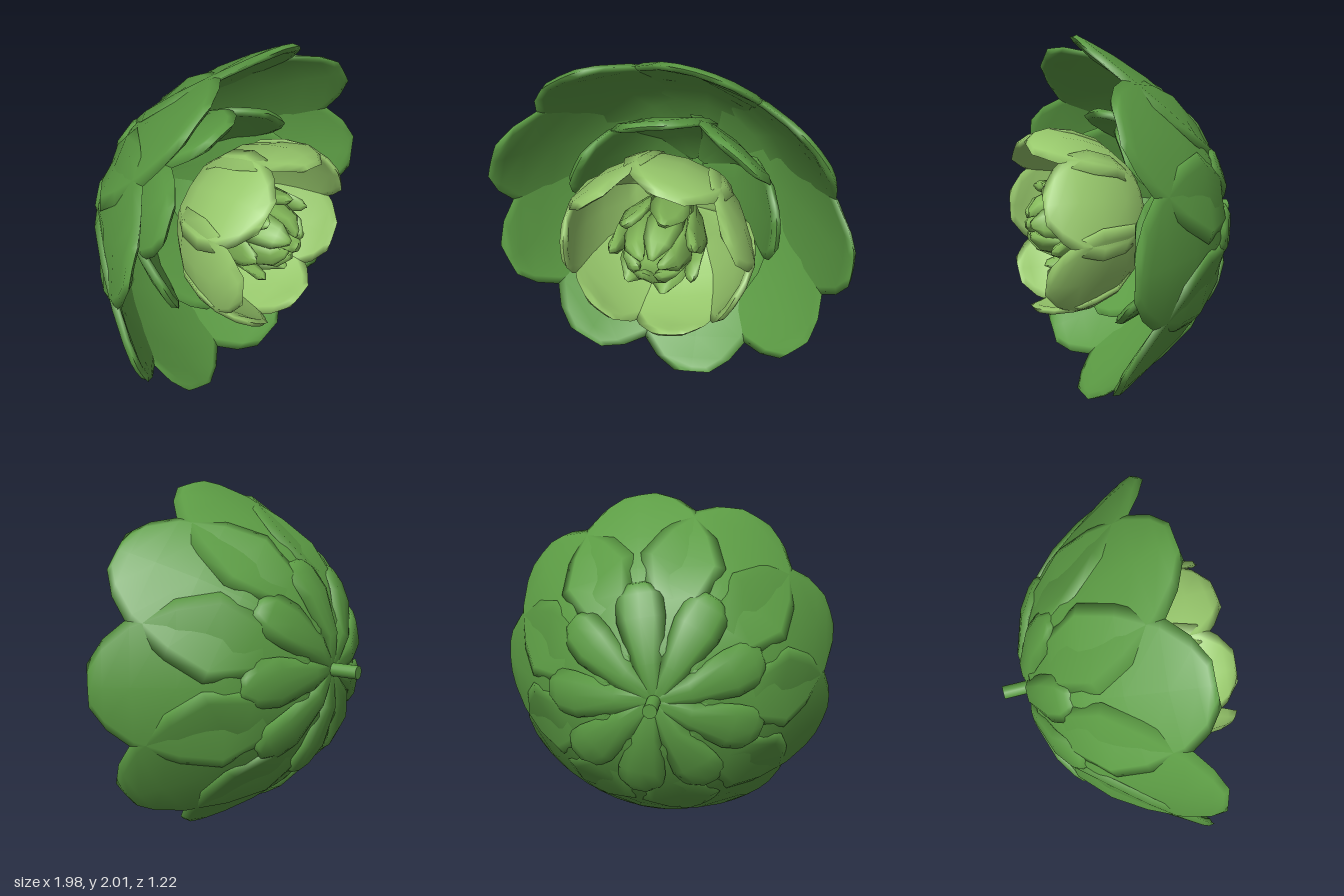
import * as THREE from 'three';

const leafGreen = new THREE.MeshStandardMaterial({ color: 0x5c9c44 });
leafGreen.name = 'leaf green';
const paleGreen = new THREE.MeshStandardMaterial({ color: 0x98c96c });
paleGreen.name = 'pale green';
const budGreen = new THREE.MeshStandardMaterial({ color: 0x84b95a });
budGreen.name = 'bud green';

// Petal lofted along a profile of [radius, z, halfWidth]; cup lifts its edges inward
function petalGeometry(profile, thickness, cup, bevel = 0.055) {
  const pos = [], index = [], n = 8, last = profile.length - 1;
  // both ends close with a zero-thickness section
  const rows = profile.map((p, i) => ({ p, t: i === 0 || i === last ? 0 : thickness }));
  const [a, b] = [profile[last - 1], profile[last]];
  rows.splice(last, 0, { p: a.map((v, i) => v + (b[i] - v) * 0.7), t: thickness });
  rows.forEach(({ p: [r, z, w], t }, j) => {
    const prev = rows[Math.max(j - 1, 0)].p, next = rows[Math.min(j + 1, rows.length - 1)].p;
    const len = Math.hypot(next[0] - prev[0], next[1] - prev[1]);
    const nr = -(next[1] - prev[1]) / len, nz = (next[0] - prev[0]) / len;
    const inner = Math.max(w - bevel, w * 0.5);
    const section = [[-w, 0], [-inner, 1], [0, 1], [inner, 1], [w, 0], [inner, -1], [0, -1], [-inner, -1]];
    section.forEach(([y, side]) => {
      const off = side * t / 2 + cup * y * y;
      pos.push(r + nr * off, y, z + nz * off);
    });
  });
  for (let j = 0; j < rows.length - 1; j++) {
    for (let i = 0; i < n; i++) {
      const p = j * n + i, q = j * n + (i + 1) % n;
      index.push(p, p + n, q + n, p, q + n, q);
    }
  }
  const g = new THREE.BufferGeometry();
  g.setAttribute('position', new THREE.Float32BufferAttribute(pos, 3));
  g.setIndex(index);
  g.computeVertexNormals();
  return g;
}

// Ring of equal petals around the z axis
function petalRing(name, count, startDeg, geometry, material) {
  const ring = new THREE.Group();
  ring.name = name + 'Ring';
  for (let i = 0; i < count; i++) {
    const petal = new THREE.Mesh(geometry, material);
    petal.name = name;
    petal.rotation.z = THREE.MathUtils.degToRad(startDeg) + i * Math.PI * 2 / count;
    ring.add(petal);
  }
  return ring;
}

export function createModel() {
  const model = new THREE.Group();
  model.name = 'rosetteFlower';
  const head = new THREE.Group();
  head.name = 'flowerHead';
  head.position.set(-0.02, 1, 0);
  model.add(head);

  // Wide outer petals, gently cupped, crossing their neighbours at the seams
  head.add(petalRing('outerPetal', 9, 0, petalGeometry([
    [0.03, -0.46, 0.03], [0.25, -0.43, 0.15], [0.49, -0.33, 0.34], [0.64, -0.2, 0.45],
    [0.78, -0.02, 0.42], [0.9, 0.17, 0.34], [0.965, 0.29, 0.23], [1.0, 0.36, 0.11],
  ], 0.04, 0.5), leafGreen));

  // Small sepals hugging the back
  head.add(petalRing('backSepal', 9, 0, petalGeometry([
    [0.02, -0.46, 0.03], [0.2, -0.455, 0.08], [0.42, -0.385, 0.13], [0.53, -0.315, 0.125], [0.59, -0.26, 0.06],
  ], 0.05, 0.3), leafGreen));

  // Green petals round the heart
  head.add(petalRing('middlePetal', 7, 0, petalGeometry([
    [0.05, -0.4, 0.04], [0.28, -0.31, 0.19], [0.44, -0.14, 0.29], [0.535, 0.04, 0.27],
    [0.57, 0.14, 0.2], [0.59, 0.2, 0.11],
  ], 0.05, 0.4), leafGreen));

  // Pale cup, flat-floored with upright walls
  head.add(petalRing('cupPetal', 7, 180 / 7, petalGeometry([
    [0.03, 0, 0.03], [0.24, 0.03, 0.14], [0.29, 0.06, 0.18], [0.4, 0.18, 0.26], [0.455, 0.32, 0.29],
    [0.48, 0.44, 0.265], [0.475, 0.54, 0.19], [0.455, 0.61, 0.09],
  ], 0.04, 0.6), paleGreen));

  // Bud: flared outer petals around an incurved inner ring
  head.add(petalRing('budPetal', 7, 25, petalGeometry([
    [0.04, 0.05, 0.04], [0.15, 0.17, 0.09], [0.195, 0.32, 0.115], [0.21, 0.44, 0.09], [0.235, 0.53, 0.015],
  ], 0.05, -1.5), budGreen));
  head.add(petalRing('innerBudPetal', 6, 15, petalGeometry([
    [0.04, 0.15, 0.04], [0.12, 0.28, 0.085], [0.15, 0.43, 0.095], [0.12, 0.54, 0.075], [0.05, 0.6, 0.015],
  ], 0.05, -1.5), budGreen));
  const core = new THREE.Mesh(new THREE.SphereGeometry(0.11, 14, 10), budGreen);
  core.name = 'budCore';
  core.scale.z = 1.8;
  core.position.z = 0.2;
  head.add(core);

  // Stem
  const stem = new THREE.Mesh(new THREE.CylinderGeometry(0.037, 0.037, 0.17, 16), leafGreen);
  stem.name = 'stem';
  stem.rotation.x = Math.PI / 2;
  stem.position.z = -0.525;
  head.add(stem);
  return model;
}
